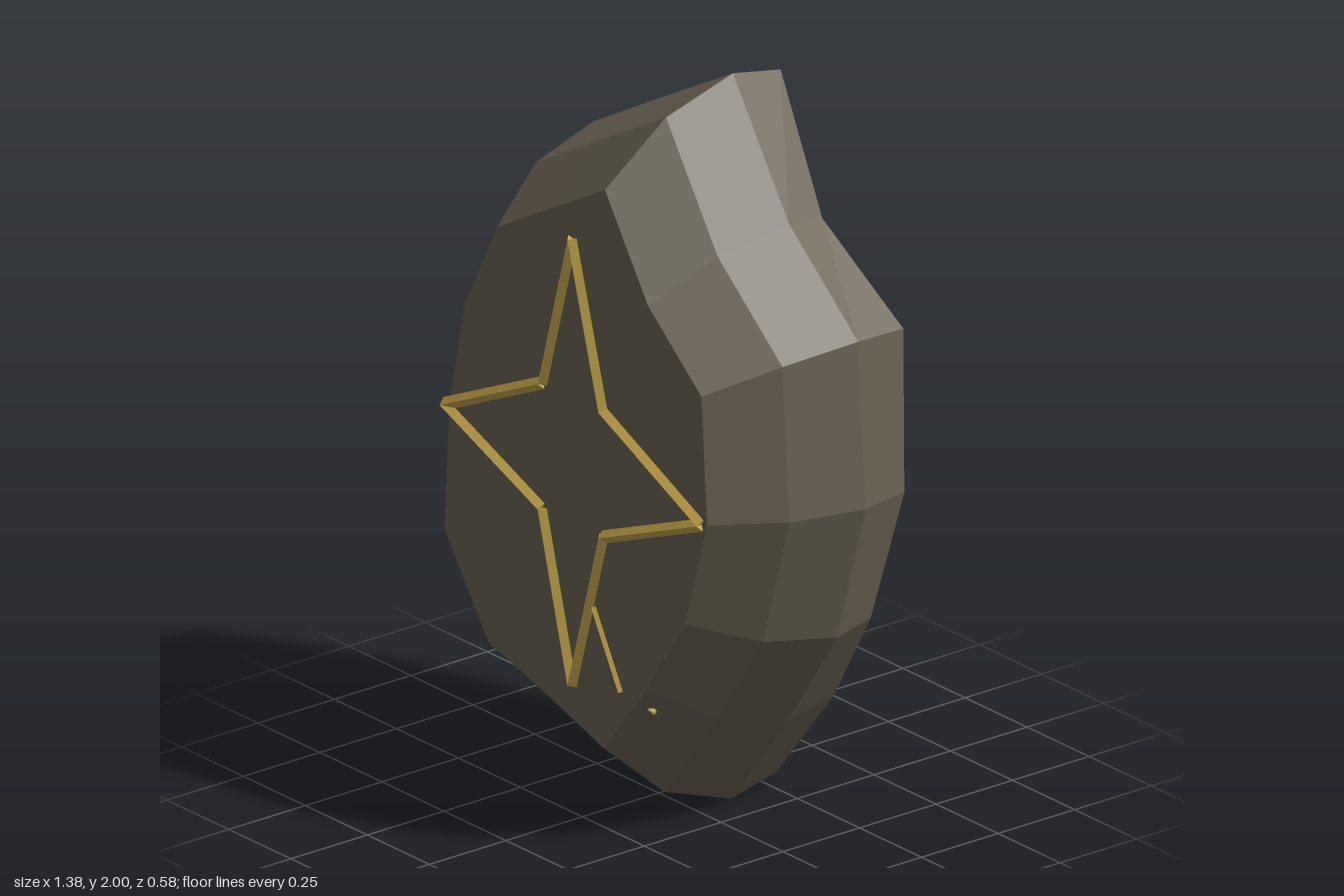
import * as THREE from 'three';

const stone = new THREE.MeshStandardMaterial({ color: 0x6b6354, flatShading: true });
stone.name = 'stone';
const gold = new THREE.MeshStandardMaterial({ color: 0xc9a84c, flatShading: true });
gold.name = 'gold';

// Widest outline of the stone, from the top peak round by -x
const outline = [
  [0.15, 2], [-0.14, 1.84], [-0.415, 1.685], [-0.585, 1.355], [-0.665, 0.97], [-0.69, 0.52], [-0.46, 0.19],
  [-0.15, 0.1], [0.145, 0.005], [0.37, 0.29], [0.57, 0.585], [0.685, 0.975], [0.655, 1.425], [0.375, 1.66],
];
// Uneven depth of the rough back edge
const backZ = [-0.28, -0.265, -0.25, -0.29, -0.275, -0.26, -0.285, -0.28, -0.27, -0.28, -0.245, -0.265, -0.285, -0.24];

function stoneGeometry() {
  const n = outline.length;
  const ring = (s, z) => outline.map(([x, y], i) => [x * s, 1 + (y - 1) * s, z ?? backZ[i]]);
  const rings = [ring(0.77, 0.27), ring(0.93, 0.09), ring(1, -0.12), ring(0.967)];
  const pos = [];
  const tri = (...p) => p.forEach((v) => pos.push(...v));
  const quad = (a, b, c, d) => { tri(a, b, c); tri(a, c, d); };
  for (let i = 0; i < n; i++) {
    const j = (i + 1) % n;
    // Front face
    tri([0, 1, 0.27], rings[0][i], rings[0][j]);
    // Bevelled sides
    for (let k = 0; k < 3; k++) quad(rings[k][i], rings[k + 1][i], rings[k + 1][j], rings[k][j]);
  }
  // Back face in bands across
  const b = rings[3];
  for (let k = 1; k <= 6; k++) quad(b[k], b[(15 - k) % n], b[14 - k], b[k + 1]);
  const g = new THREE.BufferGeometry();
  g.setAttribute('position', new THREE.Float32BufferAttribute(pos, 3));
  g.computeVertexNormals();
  return g;
}

// Four-sided rod with one edge towards the front
function rod(name, from, to, r) {
  const a = new THREE.Vector3(...from), b = new THREE.Vector3(...to);
  const d = b.clone().sub(a);
  const mesh = new THREE.Mesh(new THREE.CylinderGeometry(r, r, d.length(), 4), gold);
  mesh.name = name;
  mesh.position.copy(a).add(b).multiplyScalar(0.5);
  mesh.quaternion.setFromUnitVectors(new THREE.Vector3(0, 1, 0), d.normalize());
  return mesh;
}

export function createModel() {
  const model = new THREE.Group();
  model.name = 'runeStone';
  const body = new THREE.Mesh(stoneGeometry(), stone);
  body.name = 'stoneBody';
  model.add(body);

  // Four-pointed star outline
  const star = new THREE.Group();
  star.name = 'starOutline';
  const pts = [
    [-0.015, 1.595], [0.11, 1.16], [0.505, 0.975], [0.11, 0.815],
    [-0.015, 0.37], [-0.135, 0.815], [-0.53, 0.975], [-0.135, 1.16],
  ];
  pts.forEach((p, i) => star.add(rod('starEdge', [...p, 0.27], [...pts[(i + 1) % 8], 0.27], 0.017)));
  model.add(star);

  // Small crack trailing from the lower point
  const crack = new THREE.Group();
  crack.name = 'crack';
  crack.add(rod('crackUpper', [0.07, 0.61, 0.268], [0.18, 0.41, 0.268], 0.011));
  crack.add(rod('crackLower', [0.18, 0.41, 0.25], [0.268, 0.372, 0.23], 0.008));
  model.add(crack);
  return model;
}
